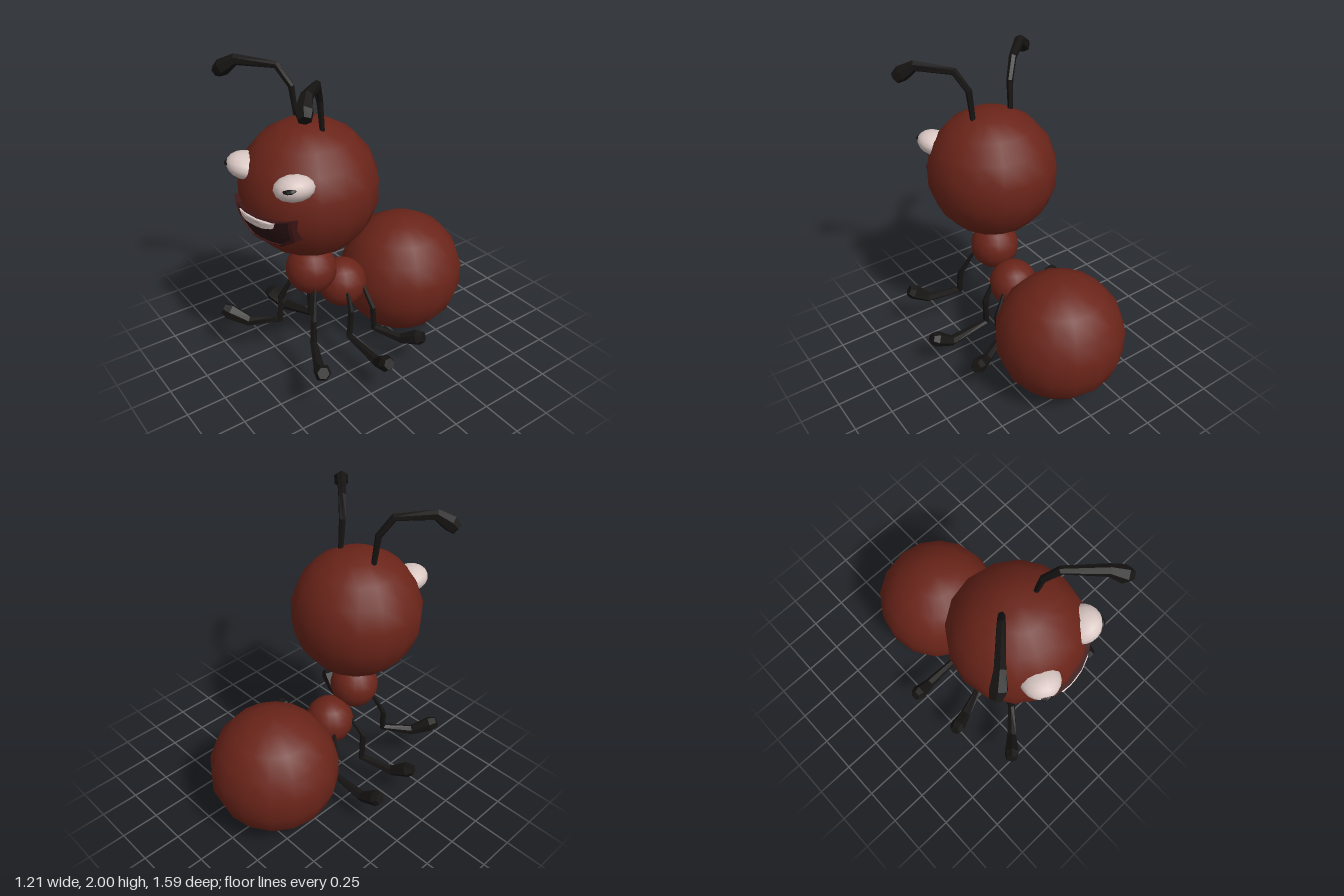
import * as THREE from 'three';

const V = (p) => new THREE.Vector3(...p);
const material = (color, extra = {}) => new THREE.MeshStandardMaterial({ color, ...extra });

const skin = material(0x6a2419);
const black = material(0x161413, { flatShading: true });
const white = material(0xd8c6c2);
const lipColor = material(0x3c1414, { flatShading: true, side: THREE.DoubleSide });
const mouthColor = material(0x281012, { flatShading: true, side: THREE.DoubleSide });
const toothColor = material(0xd8c6c2, { flatShading: true, side: THREE.DoubleSide });

const HEAD = { x: -0.01, y: 1.265, z: 0.335, r: 0.415 };

function add(parent, name, geometry, mat) {
  const mesh = new THREE.Mesh(geometry, mat);
  mesh.name = name;
  parent.add(mesh);
  return mesh;
}

function ball(parent, name, r, pos) {
  const mesh = add(parent, name, new THREE.SphereGeometry(r, 16, 9), skin);
  mesh.position.set(...pos);
  return mesh;
}

// Joins loops of equal length into a surface; closes both ends when capped
function loft(loops, capped) {
  const n = loops[0].length;
  const all = loops.flat();
  const index = [];
  for (let i = 0; i < loops.length - 1; i++) {
    for (let j = 0; j < n; j++) {
      const a = i * n + j, b = i * n + (j + 1) % n;
      index.push(a, b, a + n, b, b + n, a + n);
    }
  }
  if (capped) {
    const last = (loops.length - 1) * n;
    for (let j = 1; j < n - 1; j++) index.push(0, j + 1, j, last, last + j, last + j + 1);
  }
  const g = new THREE.BufferGeometry().setFromPoints(all);
  g.setIndex(index);
  g.computeVertexNormals();
  return g;
}

// Six-sided limb along a bent line, with a radius at every joint
function limb(points, radii, sides = 6) {
  const p = points.map(V);
  const normal = new THREE.Vector3();
  const loops = p.map((c, i) => {
    const before = c.clone().sub(p[Math.max(i - 1, 0)]).normalize();
    const after = p[Math.min(i + 1, p.length - 1)].clone().sub(c).normalize();
    const t = before.add(after).normalize();
    if (i === 0) normal.set(0, 0, 1);
    normal.addScaledVector(t, -normal.dot(t)).normalize();
    const side = t.clone().cross(normal);
    return Array.from({ length: sides }, (_, j) => {
      const a = (j / sides) * Math.PI * 2;
      return c.clone()
        .addScaledVector(normal, Math.cos(a) * radii[i])
        .addScaledVector(side, Math.sin(a) * radii[i]);
    });
  });
  return loft(loops, true);
}

// Outline wrapped over the head; each ring is [scale, distance from head centre]
function wrapped(outline, rings) {
  const pts = [];
  outline.forEach(([x, y], i) => {
    const [nx, ny] = outline[(i + 1) % outline.length];
    for (let k = 0; k < 3; k++) pts.push([x + (nx - x) * k / 3, y + (ny - y) * k / 3]);
  });
  const cx = pts.reduce((s, q) => s + q[0], 0) / pts.length;
  const cy = pts.reduce((s, q) => s + q[1], 0) / pts.length;
  return loft(rings.map(([s, r]) => pts.map(([px, py]) => {
    const x = cx + (px - cx) * s, y = cy + (py - cy) * s;
    const d = r * r - (x - HEAD.x) ** 2 - (y - HEAD.y) ** 2;
    return V([x, y, HEAD.z + Math.sqrt(d)]);
  })), false);
}

// Flattened eyeball facing outwards, with a pupil set on its surface
function eye(parent, name, pos, facing, pupilOffset) {
  const group = new THREE.Group();
  group.name = name;
  group.position.set(...pos);
  parent.add(group);
  const white3 = add(group, name + 'White', new THREE.SphereGeometry(0.116, 14, 10), white);
  white3.scale.z = 0.66;
  white3.lookAt(V(facing));
  const pupil = add(group, name + 'Pupil', new THREE.SphereGeometry(0.046, 9, 6), black);
  pupil.scale.z = 0.4;
  pupil.position.set(...pupilOffset);
  pupil.lookAt(V(facing).normalize().multiplyScalar(0.5).add(V(pupilOffset)));
}

export function createModel() {
  const model = new THREE.Group();
  model.name = 'ant';

  // Body
  ball(model, 'abdomen', 0.413, [-0.02, 0.413, -0.387]);
  ball(model, 'rearThorax', 0.16, [-0.01, 0.507, 0.11]);
  ball(model, 'frontThorax', 0.16, [-0.015, 0.692, 0.335]);

  // Head
  const head = new THREE.Group();
  head.name = 'head';
  model.add(head);
  ball(head, 'skull', HEAD.r, [HEAD.x, HEAD.y, HEAD.z]);

  // Eyes
  eye(head, 'rightEye', [-0.15, 1.43, 0.655], [-0.3, 0.1, 0.95], [-0.037, 0.026, 0.07]);
  eye(head, 'leftEye', [0.245, 1.425, 0.585], [0.68, 0.1, 0.72], [0.056, 0.03, 0.057]);

  // Mouth: raised lip, dark inside and upper teeth
  const mouth = [[-0.175, 1.26], [-0.155, 1.12], [-0.01, 1.065], [0.2, 1.065],
    [0.285, 1.12], [0.295, 1.257], [0.22, 1.237], [-0.11, 1.237]];
  add(head, 'lip', wrapped(mouth, [[1, 0.4], [1, 0.432], [0.93, 0.432], [0.91, 0.418]]), lipColor);
  add(head, 'mouthInside',
    wrapped(mouth, [[0.93, 0.421], [0.7, 0.421], [0.45, 0.421], [0.2, 0.421], [0, 0.421]]), mouthColor);
  const teeth = [[-0.065, 1.226], [-0.045, 1.19], [0.0, 1.177], [0.14, 1.177], [0.19, 1.19], [0.205, 1.226]];
  add(head, 'upperTeeth',
    wrapped(teeth, [[1, 0.41], [1, 0.432], [0.9, 0.437], [0.5, 0.437], [0, 0.437]]), toothColor);

  // Antennae
  for (const s of [-1, 1]) {
    const path = [[0.134, 1.63, 0.32], [0.145, 1.83, 0.34], [0.205, 1.945, 0.395],
      [0.37, 1.965, 0.56], [0.43, 1.915, 0.615], [0.465, 1.885, 0.635]]
      .map(([x, y, z]) => [HEAD.x + s * x, y, z]);
    add(head, s > 0 ? 'leftAntenna' : 'rightAntenna',
      limb(path, [0.016, 0.021, 0.024, 0.034, 0.05, 0.036]), black);
  }

  // Legs: hip, shin, ankle, foot, toe
  const legs = {
    frontLeftLeg: [[0.12, 0.63, 0.4], [0.19, 0.46, 0.46], [0.2, 0.31, 0.47], [0.4, 0.28, 0.56], [0.52, 0.36, 0.61]],
    frontRightLeg: [[-0.11, 0.63, 0.4], [-0.165, 0.44, 0.48], [-0.15, 0.29, 0.5], [-0.29, 0.255, 0.65], [-0.41, 0.335, 0.77]],
    middleLeftLeg: [[0.11, 0.56, 0.16], [0.175, 0.4, 0.17], [0.17, 0.21, 0.18], [0.45, 0.185, 0.17], [0.59, 0.265, 0.185]],
    middleRightLeg: [[-0.12, 0.56, 0.18], [-0.2, 0.4, 0.24], [-0.2, 0.2, 0.24], [-0.41, 0.175, 0.31], [-0.55, 0.25, 0.36]],
    rearLeftLeg: [[0.11, 0.53, 0.04], [0.19, 0.37, 0.01], [0.18, 0.2, -0.01], [0.35, 0.175, -0.1], [0.48, 0.23, -0.18]],
    rearRightLeg: [[-0.12, 0.53, 0.04], [-0.185, 0.37, 0.0], [-0.19, 0.21, -0.02], [-0.45, 0.195, -0.02], [-0.59, 0.27, -0.005]],
  };
  for (const [name, path] of Object.entries(legs)) {
    const [foot, toe] = [path[3], path[4]];
    const bulge = V(foot).lerp(V(toe), 0.75).toArray();
    const points = [...path.slice(0, 4), bulge, toe];
    add(model, name, limb(points, [0.01, 0.02, 0.024, 0.035, 0.052, 0.036]), black);
  }

  return model;
}
